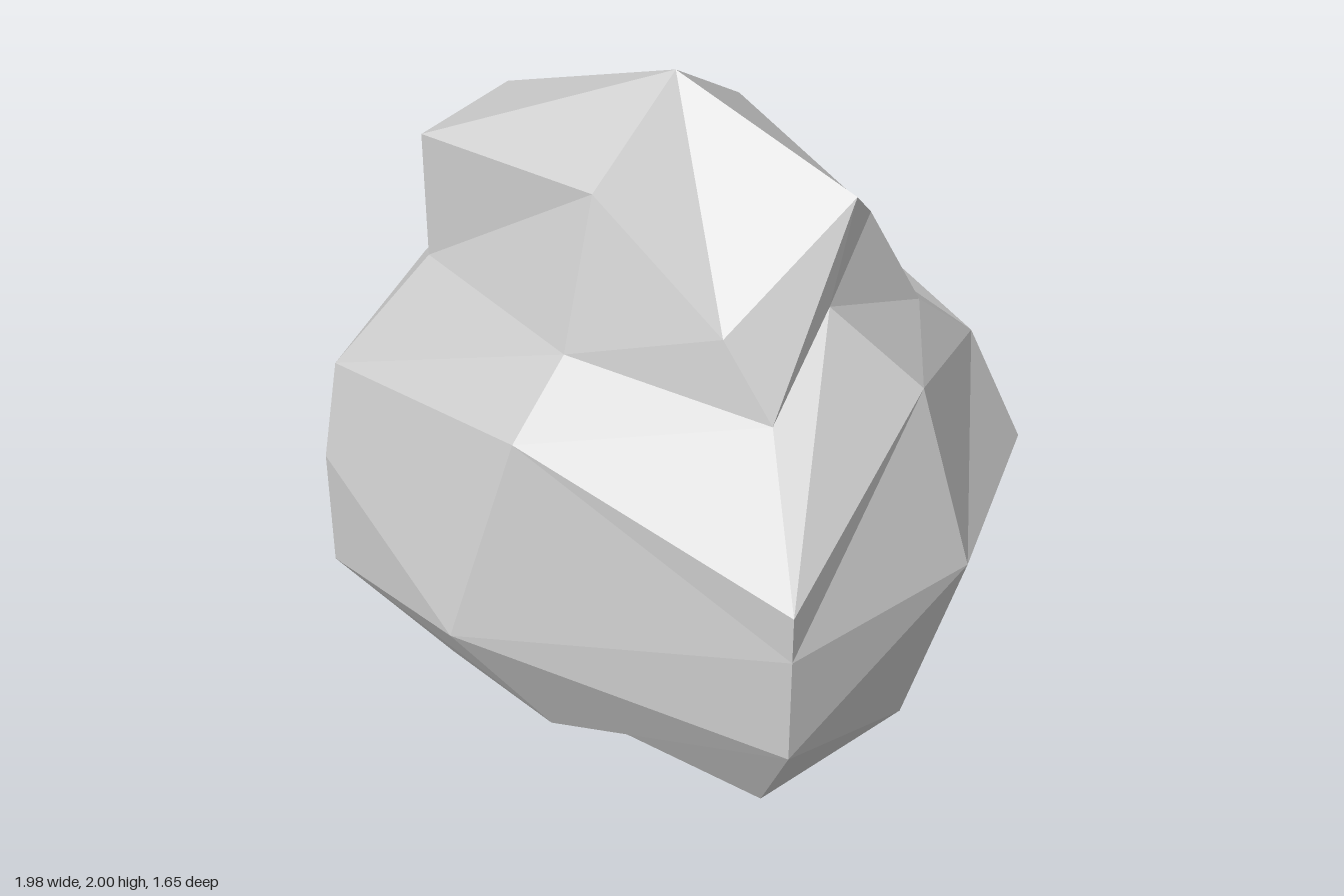
import * as THREE from 'three';

// Faceted boulder: stacked rings of eight points, each starting at +x and
// turning through +z (front), -x and -z (back). Points are [x, y, z].
const RINGS = [
  // underside
  [[.6, .08, .01], [.6, .08, .37], [.06, .08, .37], [-.48, .08, .37],
   [-.48, .08, .01], [-.48, .08, -.35], [.06, .08, -.35], [.6, .08, -.35]],
  // lower body
  [[.82, .25, .01], [.82, .52, .6], [.06, .25, .6], [-.7, .48, .6],
   [-.7, .25, .01], [-.7, .47, -.58], [.06, .25, -.58], [.63, .4, -.47]],
  // widest ring
  [[.985, .84, .01], [.82, .84, .6], [-.09, .645, .825], [-.7, .84, .6],
   [-.99, .84, -.17], [-.58, .86, -.58], [.06, .84, -.83], [.82, .84, -.58]],
  // shoulder
  [[.82, 1.33, .01], [.82, .98, .6], [.06, 1.26, .72], [-.7, 1.11, .53],
   [-.7, 1.27, .13], [-.7, 1.24, -.46], [.06, 1.33, -.69], [.65, 1.13, -.575]],
  // neck
  [[.6, 1.55, .12], [.6, 1.33, .37], [.06, 1.41, .5], [-.48, 1.45, .37],
   [-.6, 1.41, .01], [-.48, 1.36, -.35], [.06, 1.43, -.455], [.6, 1.33, -.35]],
  // crown
  [[.6, 1.81, .01], [.45, 1.53, .37], [.06, 1.81, .37], [-.48, 1.81, .37],
   [-.48, 1.81, .01], [-.48, 1.61, -.35], [.06, 1.81, -.285], [.495, 1.61, -.25]],
];
const BOTTOM = [.06, 0, .01];
const TOP = [.06, 2, .01];

function boulderGeometry() {
  const points = [];
  const tri = (a, b, c) => points.push(...a, ...b, ...c);

  for (let i = 0; i < 8; i++) {
    const j = (i + 1) % 8;
    // end caps
    tri(BOTTOM, RINGS[0][i], RINGS[0][j]);
    tri(RINGS[5][i], TOP, RINGS[5][j]);
    // bands between neighbouring rings
    for (let r = 0; r < 5; r++) {
      const lo = RINGS[r], up = RINGS[r + 1];
      const flipped = i === 1 && (r === 1 || r === 2); // facets beside the front bulge
      if (flipped) {
        tri(lo[i], up[i], up[j]);
        tri(lo[i], up[j], lo[j]);
      } else {
        tri(lo[i], up[i], lo[j]);
        tri(up[i], up[j], lo[j]);
      }
    }
  }
  const geometry = new THREE.BufferGeometry();
  geometry.setAttribute('position', new THREE.Float32BufferAttribute(points, 3));
  geometry.computeVertexNormals();
  return geometry;
}

export function createModel() {
  const group = new THREE.Group();
  group.name = 'rock';
  const material = new THREE.MeshStandardMaterial({ color: 0xcccccc, flatShading: true });
  const boulder = new THREE.Mesh(boulderGeometry(), material);
  boulder.name = 'boulder';
  group.add(boulder);
  return group;
}
